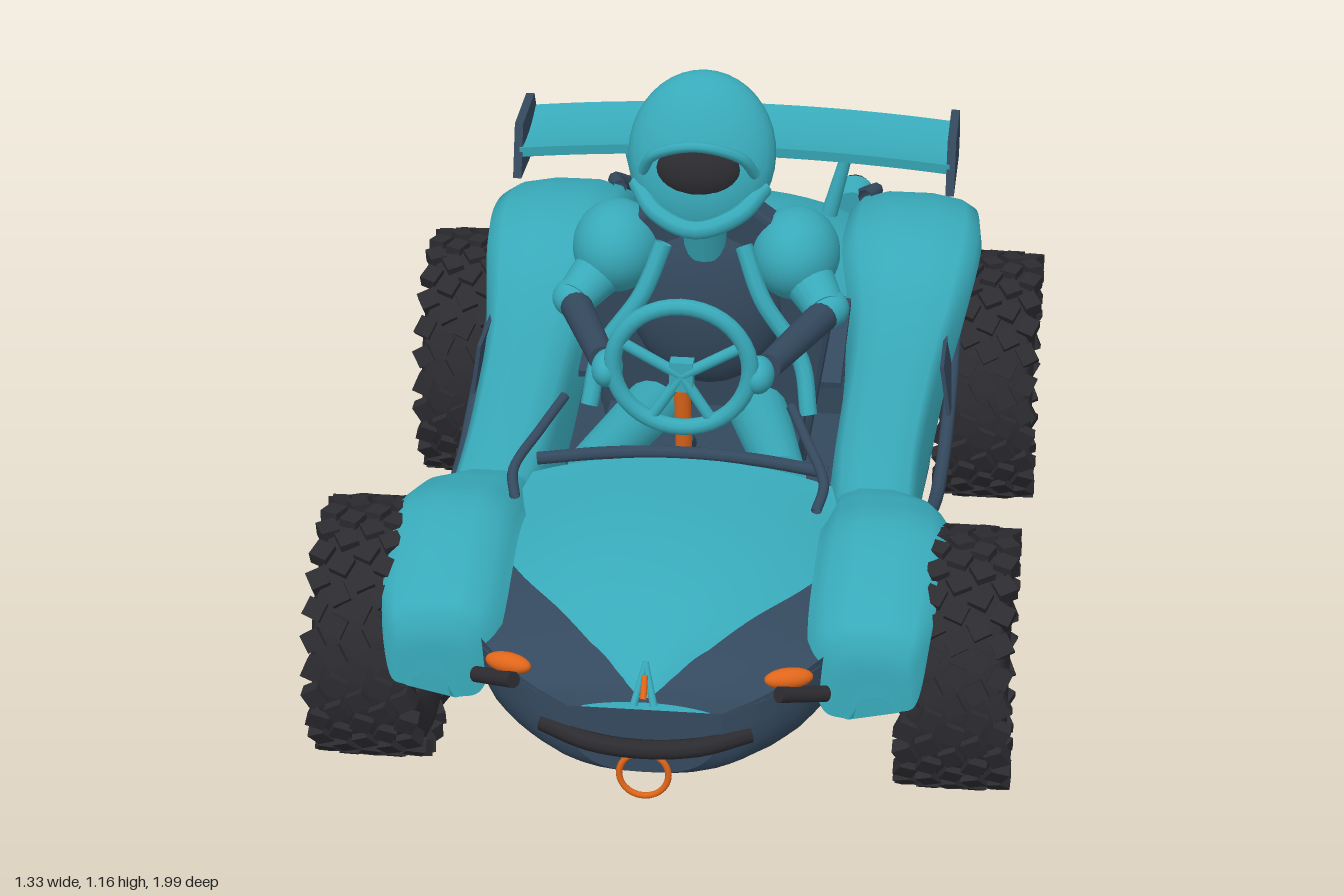
import * as THREE from 'three';
import { mergeGeometries } from 'three/addons/utils/BufferGeometryUtils.js';

const mat = (name, color, side = THREE.FrontSide) => {
  const m = new THREE.MeshStandardMaterial({ color, side });
  m.name = name;
  return m;
};
const V = (a) => new THREE.Vector3(...a);

export function createModel() {
  const car = new THREE.Group();
  car.name = 'buggy';
  const teal = mat('teal', 0x38a9b9, THREE.DoubleSide);
  const navy = mat('navy', 0x34495e, THREE.DoubleSide);
  const black = mat('black', 0x2b2b30);
  const orange = mat('orange', 0xe0661a);

  const add = (name, geo, material, pos = [0, 0, 0], rot = [0, 0, 0], scale = [1, 1, 1], parent = car) => {
    const m = new THREE.Mesh(geo, material);
    m.name = name;
    m.position.set(...pos);
    m.rotation.set(...rot);
    m.scale.set(...scale);
    parent.add(m);
    return m;
  };
  const box = (w, h, d) => new THREE.BoxGeometry(w, h, d);
  const ball = new THREE.SphereGeometry(1, 28, 20);
  const tube = (name, pts, r, material) =>
    add(name, new THREE.TubeGeometry(new THREE.CatmullRomCurve3(pts.map(V)), 20, r, 8), material);
  const rod = (name, a, b, r0, r1, material) => {
    const p = V(a), q = V(b), d = q.clone().sub(p);
    const m = add(name, new THREE.CylinderGeometry(r1, r0, d.length(), 16), material, p.clone().add(q).multiplyScalar(0.5).toArray());
    m.quaternion.setFromUnitVectors(new THREE.Vector3(0, 1, 0), d.normalize());
    return m;
  };

  // Smoothly resample rows of section parameters
  const resample = (rows, n = 30) => {
    const f = new THREE.CubicInterpolant(rows.map((_, i) => i), rows.flat(), rows[0].length);
    return Array.from({ length: n + 1 }, (_, i) => Array.from(f.evaluate(i / n * (rows.length - 1))));
  };
  // Skin through open cross-sections, with optional end caps
  const loft = (sections, caps = false) => {
    const pos = [], idx = [], n = sections[0].length;
    sections.forEach((s) => s.forEach((p) => pos.push(...p)));
    for (let i = 0; i < sections.length - 1; i++) {
      for (let j = 0; j < n - 1; j++) {
        const a = i * n + j, b = a + n;
        idx.push(a, b, a + 1, b, b + 1, a + 1);
      }
    }
    if (caps) [sections[0], sections.at(-1)].forEach((s) => {
      const o = pos.length / 3;
      s.forEach((p) => pos.push(...p));
      for (let j = 1; j < n - 1; j++) idx.push(o, o + j, o + j + 1);
    });
    const g = new THREE.BufferGeometry();
    g.setAttribute('position', new THREE.Float32BufferAttribute(pos, 3));
    g.setIndex(idx);
    g.computeVertexNormals();
    return g;
  };

  // Lower tub: rows are z, half width, bottom, rim
  const tub = resample([
    [0.955, 0.14, 0.17, 0.30], [0.92, 0.23, 0.155, 0.335], [0.82, 0.33, 0.15, 0.375], [0.6, 0.39, 0.15, 0.40],
    [0.35, 0.43, 0.15, 0.39], [0, 0.46, 0.15, 0.38], [-0.3, 0.46, 0.15, 0.43], [-0.5, 0.41, 0.15, 0.47],
    [-0.75, 0.38, 0.17, 0.5], [-0.93, 0.34, 0.25, 0.47]]).map(([z, w, y0, y1]) =>
    Array.from({ length: 21 }, (_, i) => {
      const a = Math.PI * i / 20, c = Math.cos(a), s = Math.sin(a);
      return [-w * Math.sign(c) * Math.abs(c) ** 0.7, y1 - (y1 - y0) * s ** 0.7, z];
    }));
  add('tub', loft(tub, true), navy);
  add('cockpitFloor', box(0.66, 0.02, 0.85), navy, [0, 0.26, 0]);

  // Arched decks: rows are z, half width, centre height, edge height
  const deck = (rows) => loft(resample(rows).map(([z, w, c, e]) =>
    Array.from({ length: 17 }, (_, i) => {
      const t = i / 8 - 1;
      return [w * t, e + (c - e) * (1 - Math.abs(t) ** 2.2), z];
    })));
  add('noseDeck', deck([[0.955, 0.14, 0.315, 0.295], [0.92, 0.23, 0.35, 0.325], [0.82, 0.33, 0.40, 0.36],
    [0.6, 0.39, 0.46, 0.38], [0.38, 0.42, 0.48, 0.38]]), navy);
  add('hood', deck([[0.955, 0.01, 0.325, 0.325], [0.9, 0.07, 0.375, 0.36], [0.8, 0.17, 0.435, 0.405],
    [0.68, 0.27, 0.475, 0.42], [0.55, 0.33, 0.50, 0.425], [0.37, 0.29, 0.515, 0.47]]), teal);
  add('rearDeck', deck([[-0.35, 0.24, 0.585, 0.5], [-0.45, 0.26, 0.615, 0.52], [-0.62, 0.28, 0.635, 0.55],
    [-0.8, 0.28, 0.6, 0.53], [-0.9, 0.27, 0.53, 0.48], [-0.94, 0.24, 0.47, 0.45]]), teal);
  add('rearBulkhead', box(0.52, 0.3, 0.015), navy, [0, 0.4, -0.36], [0.1, 0, 0]);
  add('cockpitShelf', box(0.54, 0.015, 0.28), navy, [0, 0.49, -0.25], [0.25, 0, 0]);

  // Wings: rows are z, inner x, outer x, top, outer lower edge
  const wing = (rows, s) => loft(resample(rows, 36).map(([z, xi, xo, t, b]) => {
    const w = xo - xi;
    return [[xi - 0.01, b - 0.02], [xi, t - 0.045], [xi + 0.1 * w, t - 0.015], [xi + 0.3 * w, t], [xi + 0.65 * w, t],
      [xi + 0.88 * w, t - 0.012], [xo - 0.006, t - 0.03], [xo, b]].map(([x, y]) => [s * x, y, z]);
  }), true);
  for (const s of [1, -1]) {
    add('frontFender', wing([[0.865, 0.37, 0.45, 0.30, 0.27], [0.855, 0.32, 0.485, 0.39, 0.29], [0.8, 0.29, 0.505, 0.445, 0.40],
      [0.6, 0.29, 0.52, 0.512, 0.475], [0.45, 0.29, 0.51, 0.492, 0.45], [0.36, 0.29, 0.47, 0.465, 0.36]], s), teal);
    add('sidePanel', wing([[0.38, 0.29, 0.455, 0.46, 0.37], [0.2, 0.28, 0.455, 0.485, 0.365], [0, 0.28, 0.465, 0.505, 0.38],
      [-0.2, 0.28, 0.48, 0.525, 0.42], [-0.38, 0.27, 0.505, 0.56, 0.48], [-0.55, 0.24, 0.53, 0.62, 0.55],
      [-0.68, 0.24, 0.53, 0.632, 0.55], [-0.82, 0.24, 0.51, 0.60, 0.49], [-0.9, 0.24, 0.47, 0.54, 0.42],
      [-0.94, 0.25, 0.42, 0.48, 0.4]], s), teal);
    add('numberPanel', box(0.008, 0.11, 0.16), navy, [s * 0.483, 0.455, -0.19], [0, 0, s * 0.15]);
    tube('sideRail', [[s * 0.44, 0.39, 0.38], [s * 0.475, 0.345, 0.2], [s * 0.485, 0.345, 0.02], [s * 0.49, 0.40, -0.18],
      [s * 0.49, 0.47, -0.38]], 0.014, navy);

    // Nose lights and wiper stalks
    add('headlight', ball, orange, [s * 0.255, 0.35, 0.9], [0, s * 0.3, 0], [0.045, 0.019, 0.02]);
    rod('lightBar', [s * 0.24, 0.335, 0.935], [s * 0.32, 0.305, 0.87], 0.015, 0.015, black);
    tube('wiperStalk', [[s * 0.28, 0.555, 0.64], [s * 0.29, 0.585, 0.59], [s * 0.25, 0.63, 0.5], [s * 0.215, 0.665, 0.43]], 0.01, navy);

    // Tail lights
    tube('tailLightArm', [[s * 0.27, 0.6, -0.78], [s * 0.29, 0.59, -0.85], [s * 0.24, 0.53, -0.95]], 0.016, navy);
    rod('tailLightHousing', [s * 0.235, 0.52, -0.91], [s * 0.235, 0.53, -0.975], 0.04, 0.045, teal);
    rod('tailLightCap', [s * 0.235, 0.53, -0.97], [s * 0.235, 0.535, -0.995], 0.042, 0.034, black);
    add('tailLightMarker', ball, orange, [s * 0.27, 0.53, -0.975], [0, 0, 0], [0.02, 0.02, 0.02]);

    // Wing supports and end plates
    rod('spoilerSupport', [s * 0.2, 0.6, -0.68], [s * 0.24, 0.755, -0.68], 0.018, 0.012, teal);
    const plate = new THREE.Shape([[0.56, 0.7], [0.6, 0.81], [0.76, 0.82], [0.815, 0.73], [0.79, 0.7]].map((p) => new THREE.Vector2(...p)));
    add('spoilerEndPlate', new THREE.ExtrudeGeometry(plate, { depth: 0.018, bevelEnabled: false }), navy, [s * 0.463 - 0.009, 0, 0], [0, Math.PI / 2, 0]);
  }

  // Rear wing blade
  const blade = box(0.92, 0.022, 0.2, 1);
  const bladeGeo = new THREE.BoxGeometry(0.92, 0.022, 0.2, 24, 1, 6);
  blade.dispose();
  const bp = bladeGeo.attributes.position;
  for (let i = 0; i < bp.count; i++) {
    const x = bp.getX(i) / 0.46, z = bp.getZ(i) / 0.1;
    bp.setY(i, bp.getY(i) + 0.025 * (1 - x * x) + 0.012 * z * z);
  }
  bladeGeo.computeVertexNormals();
  add('spoilerBlade', bladeGeo, teal, [0, 0.752, -0.68], [0.12, 0, 0]);

  // Floor tray
  const tray = new THREE.Shape([[-0.14, 0.8], [0.14, 0.8], [0.33, 0.5], [0.33, -0.6], [0.27, -0.78], [-0.27, -0.78],
    [-0.33, -0.6], [-0.33, 0.5]].map((p) => new THREE.Vector2(...p)));
  add('floorTray', new THREE.ExtrudeGeometry(tray, { depth: 0.02, bevelSize: 0.015, bevelThickness: 0.012, bevelSegments: 2 }),
    teal, [0, 0.145, 0], [Math.PI / 2, 0, 0]);

  // Nose trim
  tube('frontBumper', [[-0.19, 0.25, 0.93], [-0.1, 0.235, 0.965], [0, 0.23, 0.975], [0.1, 0.235, 0.965], [0.19, 0.25, 0.93]], 0.018, black);
  add('towRing', new THREE.TorusGeometry(0.045, 0.006, 8, 28), orange, [0, 0.175, 0.97]);
  for (const s of [1, -1]) rod('noseOrnament', [0, 0.385, 0.93], [s * 0.018, 0.315, 0.965], 0.005, 0.007, teal);
  rod('noseOrnamentPin', [0, 0.365, 0.945], [0, 0.33, 0.97], 0.006, 0.006, orange);

  // Tail trim and diffuser
  tube('tailStrip', [[-0.21, 0.49, -0.925], [-0.1, 0.47, -0.95], [0, 0.46, -0.957], [0.1, 0.47, -0.95], [0.21, 0.49, -0.925]], 0.009, orange);
  add('tailPlate', box(0.19, 0.09, 0.012), navy, [0, 0.355, -0.95]);
  add('diffuser', box(0.5, 0.015, 0.2), black, [0, 0.21, -0.84], [0.45, 0, 0]);
  const fin = new THREE.Shape([[0.77, 0.15], [0.94, 0.17], [0.945, 0.28], [0.92, 0.26]].map((p) => new THREE.Vector2(...p)));
  for (let i = -2; i <= 2; i++) {
    add('diffuserFin', new THREE.ExtrudeGeometry(fin, { depth: 0.01, bevelEnabled: false }), teal, [i * 0.115 - 0.005, 0, 0], [0, Math.PI / 2, 0]);
  }

  // Wheels with knobbly tyres; the hub axis points outward along +y before turning
  const wheel = (name, s, x, z, r) => {
    const g = new THREE.Group();
    g.name = name;
    g.position.set(s * x, r, z);
    g.rotation.z = -s * Math.PI / 2;
    car.add(g);
    const rr = r * 0.53, w = 0.088;
    const profile = [[rr, -w * 0.8], [rr + 0.02, -w], [r * 0.82, -w * 1.08], [r * 0.94, -w * 0.9], [r * 0.965, 0],
      [r * 0.94, w * 0.9], [r * 0.82, w * 1.08], [rr + 0.02, w], [rr, w * 0.8], [rr, -w * 0.8]];
    add('tyre', new THREE.LatheGeometry(profile.map((p) => new THREE.Vector2(...p)), 48), black, [0, 0, 0], [0, 0, 0], [1, 1, 1], g);
    const knobs = [], n = 26;
    for (let i = 0; i < n; i++) for (let k = -2; k <= 2; k++) {
      const edge = Math.abs(k) === 2;
      const b = box(edge ? 0.03 : 0.022, 0.036, r * 0.15);
      b.rotateX((i + k) % 2 ? 0.5 : -0.4);
      b.translate(r * (edge ? 0.935 : 0.965), k * 0.042, 0);
      b.rotateY((i + (k % 2 ? 0.5 : 0)) / n * Math.PI * 2);
      knobs.push(b);
    }
    add('tread', mergeGeometries(knobs), black, [0, 0, 0], [0, 0, 0], [1, 1, 1], g);
    add('rimDisc', new THREE.CylinderGeometry(rr, rr, 0.06, 36), teal, [0, 0, 0], [0, 0, 0], [1, 1, 1], g);
    add('rimRing', new THREE.TorusGeometry(rr - 0.008, 0.012, 8, 40), teal, [0, 0.075, 0], [Math.PI / 2, 0, 0], [1, 1, 1], g);
    for (let i = 0; i < 6; i++) {
      const a = i * Math.PI / 3 + Math.PI / 6, p = [Math.cos(a) * rr * 0.52, 0.055, -Math.sin(a) * rr * 0.52];
      add('spoke', box(rr * 0.85, 0.025, 0.02), teal, p, [0, a, 0], [1, 1, 1], g);
      add('spokeInlay', box(rr * 0.8, 0.012, 0.009), orange, [p[0], 0.064, p[2]], [0, a, 0], [1, 1, 1], g);
    }
    add('brakeCaliper', box(rr * 0.5, 0.04, 0.055), orange, [s * rr * 0.6, 0.03, 0], [0, 0, 0], [1, 1, 1], g);
    add('hub', new THREE.CylinderGeometry(0.03, 0.035, 0.09, 16), navy, [0, 0.035, 0], [0, 0, 0], [1, 1, 1], g);
  };
  for (const s of [1, -1]) {
    wheel('frontWheel', s, 0.548, 0.6, 0.245);
    wheel('rearWheel', s, 0.558, -0.61, 0.267);
  }
  for (const [y, z] of [[0.245, 0.6], [0.267, -0.61]]) rod('axle', [-0.5, y, z], [0.5, y, z], 0.025, 0.025, navy);

  // Seat
  const back = new THREE.Shape([[-0.19, 0.3], [0.19, 0.3], [0.24, 0.62], [0.19, 0.8], [0.09, 0.88], [-0.09, 0.88], [-0.19, 0.8], [-0.24, 0.62]]
    .map((p) => new THREE.Vector2(...p)));
  add('seatBack', new THREE.ExtrudeGeometry(back, { depth: 0.04, bevelSize: 0.012, bevelThickness: 0.012, bevelSegments: 2 }),
    navy, [0, 0, -0.2], [0.14, 0, 0]);
  add('seatCushion', box(0.4, 0.1, 0.36), navy, [0, 0.36, 0.06]);

  // Dashboard, steering column and wheel
  tube('dashTrim', [[-0.28, 0.5, 0.37], [-0.14, 0.515, 0.36], [0, 0.52, 0.355], [0.14, 0.515, 0.36], [0.28, 0.5, 0.37]], 0.013, navy);
  rod('steeringColumn', [0, 0.5, 0.33], [0, 0.66, 0.36], 0.016, 0.016, orange);
  add('steeringHub', box(0.045, 0.06, 0.03), teal, [0, 0.69, 0.365]);
  add('steeringRim', new THREE.TorusGeometry(0.125, 0.016, 10, 40), teal, [0, 0.71, 0.375], [0, 0, 0], [1.05, 1, 1]);
  for (const p of [[0.12, 0.76], [-0.12, 0.76], [0.06, 0.6], [-0.06, 0.6]]) rod('steeringSpoke', [0, 0.69, 0.37], [...p, 0.375], 0.011, 0.011, teal);
  rod('gearLever', [0.0, 0.5, 0.27], [0, 0.54, 0.33], 0.018, 0.018, navy);

  // Driver
  add('torso', ball, navy, [0, 0.66, -0.08], [0, 0, 0], [0.16, 0.19, 0.08]);
  rod('neck', [0, 0.78, -0.05], [0, 0.9, 0], 0.045, 0.04, teal);
  for (const s of [1, -1]) {
    add('shoulder', ball, teal, [s * 0.18, 0.77, -0.06], [0, 0, 0], [0.088, 0.092, 0.105]);
    rod('upperArm', [s * 0.2, 0.74, -0.03], [s * 0.25, 0.70, 0.06], 0.055, 0.04, teal);
    add('elbow', ball, teal, [s * 0.25, 0.70, 0.05], [0, 0, 0], [0.045, 0.04, 0.045]);
    rod('forearm', [s * 0.25, 0.695, 0.06], [s * 0.16, 0.69, 0.31], 0.032, 0.026, navy);
    add('glove', ball, teal, [s * 0.145, 0.69, 0.35], [0, 0, 0], [0.03, 0.035, 0.045]);
    tube('harness', [[s * 0.08, 0.8, -0.01], [s * 0.12, 0.7, 0.02], [s * 0.2, 0.58, 0.04], [s * 0.22, 0.48, 0.08]], 0.018, teal);
    rod('thigh', [s * 0.11, 0.42, -0.04], [s * 0.19, 0.45, 0.3], 0.06, 0.045, teal);
  }
  add('helmetShell', ball, teal, [0, 1.005, 0.015], [-0.36, 0, 0], [0.145, 0.162, 0.078]);
  add('visor', ball, black, [0, 0.995, 0.065], [-0.3, 0, 0], [0.09, 0.065, 0.045]);
  tube('visorBrow', [[-0.11, 0.985, 0.07], [-0.085, 1.03, 0.1], [0, 1.06, 0.125], [0.085, 1.03, 0.1], [0.11, 0.985, 0.07]], 0.011, teal);
  tube('chinGuard', [[-0.125, 0.95, 0.045], [-0.08, 0.915, 0.11], [0, 0.895, 0.145], [0.08, 0.915, 0.11], [0.125, 0.95, 0.045]], 0.018, teal);

  return car;
}
